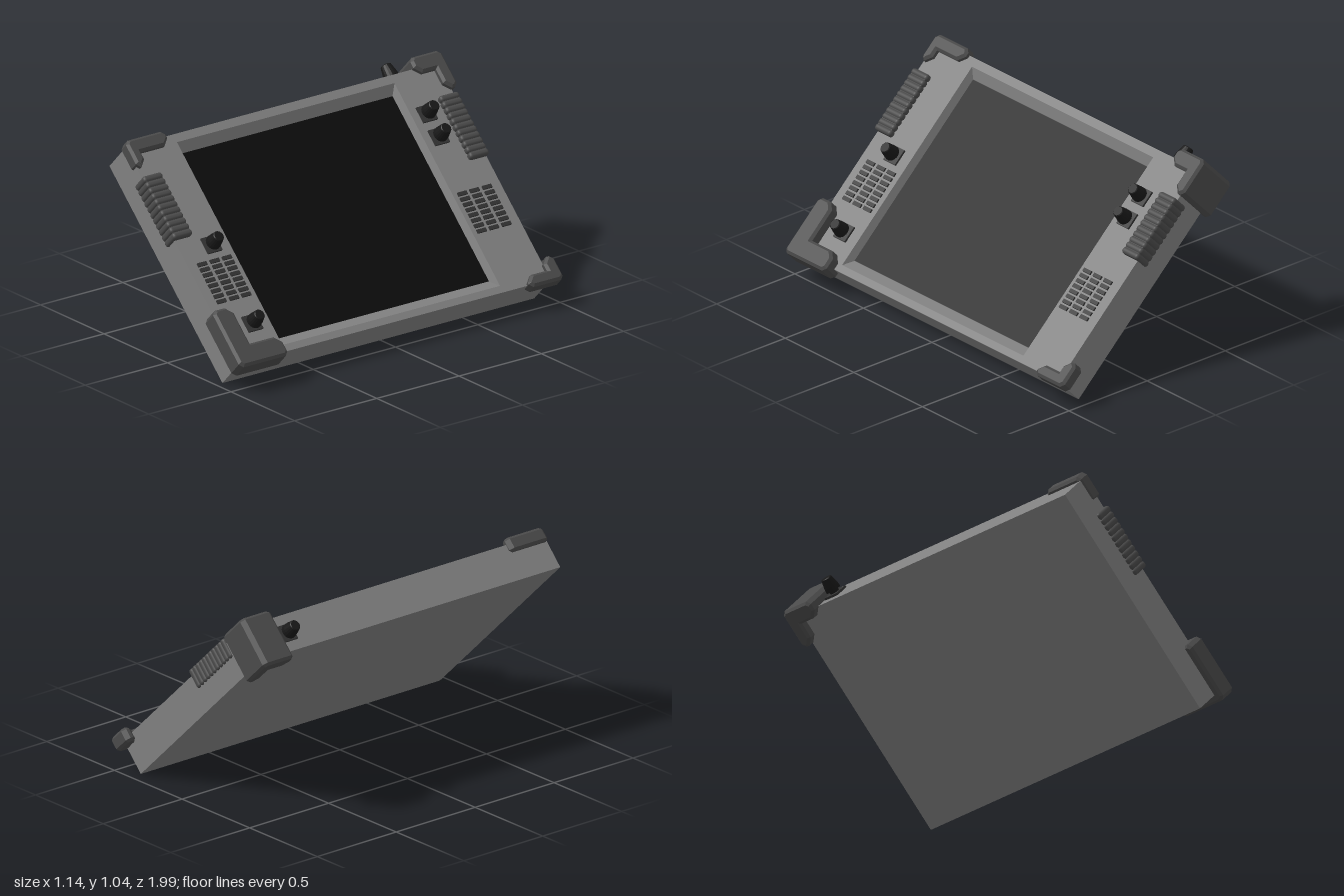
import * as THREE from 'three';
import { RoundedBoxGeometry } from 'three/addons/geometries/RoundedBoxGeometry.js';

// Panel space: x across the panel, y up the slope from the lower edge, z out of the face.
const LEFT = -0.96, RIGHT = 0.935, LENGTH = 1.231, THICK = 0.187, RECESS = 0.042;

const mat = (color) => new THREE.MeshStandardMaterial({ color, roughness: 0.8 });
const bodyMat = mat(0x808080);
const rubberMat = mat(0x4a4a4a);
const ventMat = mat(0x333333);
const knobMat = mat(0x181818);
const screenMat = mat(0x0c0c0c);

function add(parent, name, geometry, material, x = 0, y = 0, z = 0) {
  const mesh = new THREE.Mesh(geometry, material);
  mesh.name = name;
  mesh.position.set(x, y, z);
  parent.add(mesh);
  return mesh;
}

const rect = (Type, x0, y0, x1, y1) => new Type([
  new THREE.Vector2(x0, y0), new THREE.Vector2(x1, y0),
  new THREE.Vector2(x1, y1), new THREE.Vector2(x0, y1),
]);

// Frame around the screen; the opening widens towards the face.
function frameGeometry(inner, outer) {
  const shape = rect(THREE.Shape, LEFT, 0, RIGHT, LENGTH);
  shape.holes.push(rect(THREE.Path, ...inner));
  const geo = new THREE.ExtrudeGeometry(shape, { depth: RECESS, bevelEnabled: false });
  const p = geo.attributes.position;
  for (let i = 0; i < p.count; i++) {
    const x = p.getX(i), y = p.getY(i);
    const onHole = x > LEFT + 0.01 && x < RIGHT - 0.01 && y > 0.01 && y < LENGTH - 0.01;
    if (!onHole || p.getZ(i) < RECESS / 2) continue;
    p.setXY(i, x < 0 ? outer[0] : outer[2], y < LENGTH / 2 ? outer[1] : outer[3]);
  }
  geo.computeVertexNormals();
  return geo;
}

// L-shaped corner guard growing inwards from its outer corner (x, y).
function addBumper(parent, name, { x, y, sx, sy, lenX, lenY, wX, wY, z0, z1 }) {
  const c = 0.02, e = 0.035, b = 0.013;
  const outline = [
    [c, 0], [lenX - c, 0], [lenX, c], [lenX, wY - e], [lenX - e, wY],
    [wX, wY], [wX, lenY - e], [wX - e, lenY], [c, lenY], [0, lenY - c], [0, c],
  ].map(([s, t]) => new THREE.Vector2(x + sx * s, y + sy * t));
  const geo = new THREE.ExtrudeGeometry(new THREE.Shape(outline), {
    depth: z1 - z0 - 2 * b, bevelThickness: b, bevelSize: b, bevelOffset: -b, bevelSegments: 1,
  });
  add(parent, name, geo, rubberMat, 0, 0, z0 + b);
}

// Square plate with a tapered knob pointing along +z.
function makeKnob(name) {
  const knob = new THREE.Group();
  knob.name = name;
  add(knob, 'knobPlate', new THREE.BoxGeometry(0.085, 0.085, 0.012), ventMat, 0, 0, 0.005);
  const profile = [[0.024, 0], [0.024, 0.022], [0.039, 0.024], [0.037, 0.045], [0.028, 0.088], [0.024, 0.092], [0, 0.092]]
    .map(([r, h]) => new THREE.Vector2(r, h));
  const cap = new THREE.LatheGeometry(profile, 18).toNonIndexed();
  cap.computeVertexNormals();
  add(knob, 'knobCap', cap, knobMat).rotation.x = Math.PI / 2;
  return knob;
}

export function createModel() {
  const model = new THREE.Group();
  model.name = 'ruggedDisplayPanel';
  const panel = new THREE.Group();
  panel.name = 'tiltedPanel';
  model.add(panel);

  // Body and recessed screen
  const inner = [-0.66, 0.09, 0.632, 1.14], outer = [-0.674, 0.037, 0.648, 1.187];
  const backDepth = THICK - RECESS;
  add(panel, 'backHousing', new THREE.BoxGeometry(RIGHT - LEFT, LENGTH, backDepth), bodyMat,
    (LEFT + RIGHT) / 2, LENGTH / 2, -RECESS - backDepth / 2);
  add(panel, 'screenFrame', frameGeometry(inner, outer), bodyMat, 0, 0, -RECESS);
  add(panel, 'screen', new THREE.PlaneGeometry(inner[2] - inner[0], inner[3] - inner[1]), screenMat,
    (inner[0] + inner[2]) / 2, (inner[1] + inner[3]) / 2, -RECESS + 0.001);

  // Corner bumpers
  addBumper(panel, 'lowerLeftBumper', { x: -0.997, y: -0.04, sx: 1, sy: 1, lenX: 0.295, lenY: 0.32, wX: 0.115, wY: 0.11, z0: -0.05, z1: 0.06 });
  addBumper(panel, 'lowerRightBumper', { x: 0.997, y: -0.022, sx: -1, sy: 1, lenX: 0.205, lenY: 0.135, wX: 0.072, wY: 0.065, z0: -0.045, z1: 0.03 });
  addBumper(panel, 'upperLeftBumper', { x: -0.967, y: 1.255, sx: 1, sy: -1, lenX: 0.24, lenY: 0.15, wX: 0.058, wY: 0.076, z0: -0.045, z1: 0.03 });
  addBumper(panel, 'upperRightBumper', { x: 0.967, y: 1.284, sx: -1, sy: -1, lenX: 0.19, lenY: 0.205, wX: 0.073, wY: 0.09, z0: -0.235, z1: 0.03 });

  // Ribbed hand grips on both side edges
  const rib = new RoundedBoxGeometry(0.115, 0.034, 0.105, 3, 0.015);
  const core = new THREE.BoxGeometry(0.1, 0.33, 0.09);
  for (const [name, x] of [['leftGrip', -0.915], ['rightGrip', 0.888]]) {
    const grip = new THREE.Group();
    grip.name = name;
    grip.position.set(x, 0.877, -0.022);
    for (let i = 0; i < 11; i++) add(grip, 'gripRib', rib, rubberMat, 0, (i - 5) * 0.032, 0);
    add(grip, 'gripCore', core, rubberMat);
    panel.add(grip);
  }

  // Speaker vents: three columns of slats each side
  const slat = new THREE.BoxGeometry(0.054, 0.019, 0.012);
  for (const [name, columns] of [['leftVent', [-0.881, -0.805, -0.731]], ['rightVent', [0.7, 0.774, 0.85]]]) {
    const vent = new THREE.Group();
    vent.name = name;
    for (const x of columns)
      for (let i = 0; i < 8; i++) add(vent, 'ventSlat', slat, ventMat, x, 0.335 + i * 0.03, 0.003);
    panel.add(vent);
  }

  // Knobs on the face, and one on the top end
  for (const [name, x, y] of [
    ['lowerLeftKnob', -0.778, 0.185], ['middleLeftKnob', -0.778, 0.63],
    ['lowerRightKnob', 0.732, 0.86], ['upperRightKnob', 0.732, 0.99],
  ]) {
    const knob = makeKnob(name);
    knob.position.set(x, y, 0);
    panel.add(knob);
  }
  const topKnob = makeKnob('topEndKnob');
  topKnob.position.set(0.72, LENGTH, -0.095);
  topKnob.rotation.x = -Math.PI / 2;
  panel.add(topKnob);

  // Lean the panel back so its face looks up towards +x
  const t = 0.808;
  const up = new THREE.Vector3(-Math.sin(t), Math.cos(t), 0);
  const out = new THREE.Vector3(Math.cos(t), Math.sin(t), 0);
  const basis = new THREE.Matrix4().makeBasis(new THREE.Vector3(0, 0, -1), up, out);
  panel.quaternion.setFromRotationMatrix(basis);
  panel.position.set(0.51, THICK * Math.sin(t), 0);
  return model;
}
